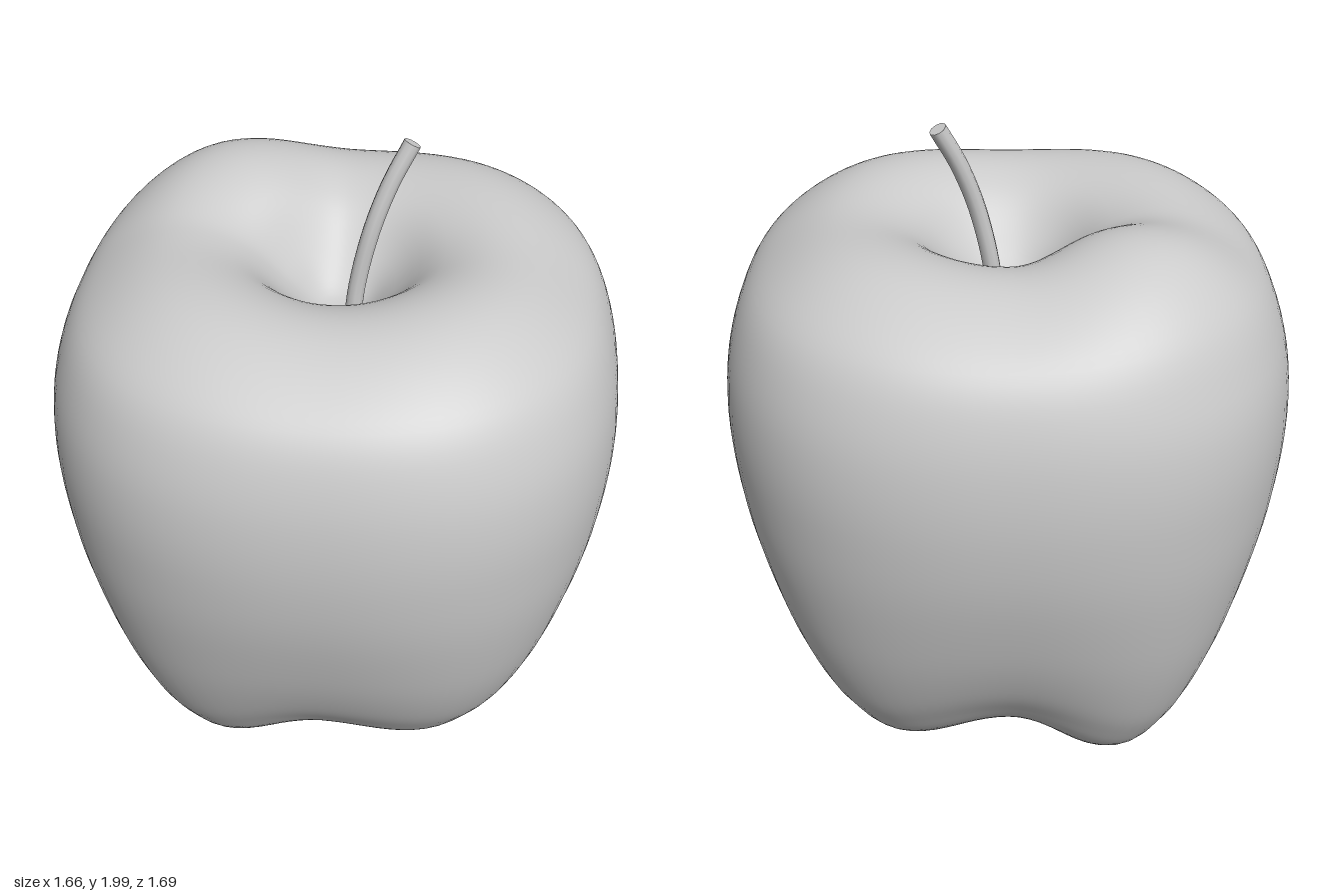
import * as THREE from 'three';
import { mergeVertices } from 'three/addons/utils/BufferGeometryUtils.js';

const material = new THREE.MeshStandardMaterial({ color: 0xcccccc });

// Half profile from bottom hollow to top hollow: radius, height, lobe weight
const PROFILE = [
  [0, 0.33, 0], [0.1, 0.29, 0.1], [0.2, 0.23, 0.4], [0.3, 0.19, 0.85], [0.4, 0.19, 1],
  [0.5, 0.25, 1], [0.58, 0.35, 0.9], [0.66, 0.48, 0.6], [0.74, 0.68, 0.3], [0.81, 0.95, 0.1],
  [0.832, 1.2, 0], [0.81, 1.4, 0], [0.75, 1.55, 0], [0.65, 1.64, 0], [0.52, 1.7, 0],
  [0.4, 1.705, 0], [0.28, 1.66, 0], [0.16, 1.55, 0], [0.07, 1.47, 0], [0, 1.45, 0],
];

// Each diagonal quarter has its own bottom drop and shoulder rise
function quarter(x, z) {
  if (x < 0) return z < 0 ? { drop: 0.18, rise: 0.068 } : { drop: 0.14, rise: 0.02 };
  return z < 0 ? { drop: 0.11, rise: 0.02 } : { drop: 0.06, rise: 0.02 };
}

function fruitGeometry() {
  const curve = new THREE.CatmullRomCurve3(PROFILE.map((p) => new THREE.Vector3(...p)));
  const rows = curve.getPoints(95);
  rows[0].x = rows[95].x = 0;
  let geo = new THREE.LatheGeometry(rows.map((p) => new THREE.Vector2(Math.max(p.x, 0), p.y)), 96);
  const pos = geo.attributes.position;
  for (let i = 0; i < pos.count; i++) {
    const row = rows[i % rows.length];
    const x = pos.getX(i), z = pos.getZ(i), y = row.y;
    const r = Math.hypot(x, z);
    if (r < 1e-6) continue;
    // Squarish cross-section, boxier towards the bottom
    const n = THREE.MathUtils.lerp(3, 2.5, THREE.MathUtils.smoothstep(y, 0.2, 1.1));
    const c = Math.abs(x / r), s = Math.abs(z / r);
    const k = Math.pow(Math.pow(c, n) + Math.pow(s, n), -1 / n);
    // Lobes under the fruit and uneven shoulders on top
    const diagonal = Math.pow(2 * c * s, 2);
    const { drop, rise } = quarter(x, z);
    const shoulder = THREE.MathUtils.smoothstep(y, 1.45, 1.7);
    pos.setXYZ(i, x * k, y + diagonal * (rise * shoulder - drop * row.z), z * k * 1.015);
  }
  geo.deleteAttribute('uv');
  geo.deleteAttribute('normal');
  geo = mergeVertices(geo, 1e-5);
  geo.computeVertexNormals();
  return geo;
}

function createStem() {
  const stem = new THREE.Group();
  stem.name = 'stem';
  const path = new THREE.CatmullRomCurve3([
    new THREE.Vector3(0.035, 1.4, 0.01),
    new THREE.Vector3(0.05, 1.55, 0),
    new THREE.Vector3(0.09, 1.73, -0.013),
    new THREE.Vector3(0.14, 1.87, -0.038),
    new THREE.Vector3(0.195, 1.98, -0.065),
  ]);
  const shaft = new THREE.Mesh(new THREE.TubeGeometry(path, 20, 0.026, 10), material);
  shaft.name = 'stemShaft';
  // Flat cut end
  const cap = new THREE.Mesh(new THREE.CircleGeometry(0.026, 10), material);
  cap.name = 'stemTip';
  cap.position.copy(path.getPoint(1));
  cap.quaternion.setFromUnitVectors(new THREE.Vector3(0, 0, 1), path.getTangent(1));
  stem.add(shaft, cap);
  return stem;
}

export function createModel() {
  const model = new THREE.Group();
  model.name = 'apple';
  const fruit = new THREE.Mesh(fruitGeometry(), material);
  fruit.name = 'fruit';
  model.add(fruit, createStem());
  return model;
}
